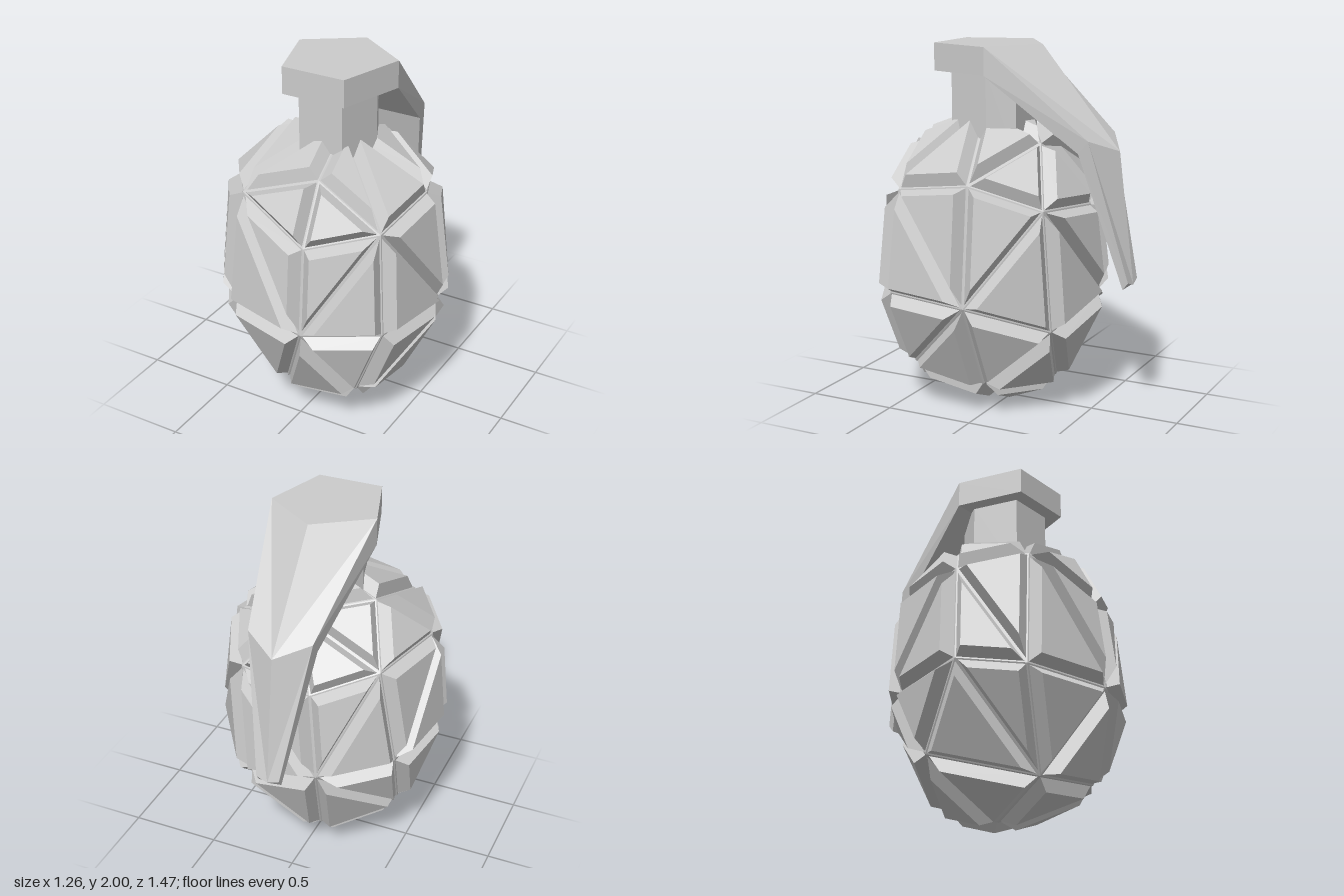
import * as THREE from 'three';
import { ConvexGeometry } from 'three/addons/geometries/ConvexGeometry.js';

const material = new THREE.MeshStandardMaterial({ color: 0xcccccc, flatShading: true });

// Points where the body's grooves meet
const NODES = [
  // top
  [0.11, 1.47, 0.46], [-0.28, 1.53, 0], [0.06, 1.6, 0.13], [0.08, 1.48, -0.22],
  // shoulder ring
  [-0.31, 1.33, 0.53], [0.11, 1.15, 0.625], [0.46, 1.24, 0.44], [0.5, 1.3, 0],
  [0.34, 1.17, -0.36], [-0.09, 1.14, -0.44], [-0.41, 1.25, -0.25], [-0.53, 1.26, 0.22],
  // waist ring
  [-0.37, 0.67, 0.56], [0.12, 0.66, 0.685], [0.5, 0.67, 0.48], [0.58, 0.66, -0.01],
  [0.3, 0.51, -0.39], [-0.14, 0.645, -0.48], [-0.49, 0.68, -0.21], [-0.57, 0.72, 0.25],
  // lower ring and base
  [-0.12, 0.17, 0.43], [0.32, 0.235, 0.435], [0.33, 0.17, 0], [-0.07, 0.14, -0.25],
  [-0.455, 0.31, -0.05], [0, 0.035, 0.05],
];

function meshFromTriangles(name, points) {
  const geometry = new THREE.BufferGeometry().setFromPoints(points);
  geometry.computeVertexNormals();
  const mesh = new THREE.Mesh(geometry, material);
  mesh.name = name;
  return mesh;
}

// Shrinks a triangle by an even margin and lifts it along its normal
function insetTriangle([a, b, c], margin, lift) {
  const la = b.distanceTo(c), lb = c.distanceTo(a), lc = a.distanceTo(b);
  const sum = la + lb + lc;
  const centre = new THREE.Vector3()
    .addScaledVector(a, la / sum).addScaledVector(b, lb / sum).addScaledVector(c, lc / sum);
  const tri = new THREE.Triangle(a, b, c);
  const inRadius = (2 * tri.getArea()) / sum;
  const normal = tri.getNormal(new THREE.Vector3());
  const t = Math.min(margin / inRadius, 0.8);
  return [a, b, c].map((p) => p.clone().lerp(centre, t).addScaledVector(normal, lift));
}

// One raised bevelled tile on every facet of the core
function makeTiles(core) {
  const pos = core.getAttribute('position');
  const points = [];
  for (let i = 0; i < pos.count; i += 3) {
    const facet = [0, 1, 2].map((k) => new THREE.Vector3().fromBufferAttribute(pos, i + k));
    const foot = insetTriangle(facet, 0.008, 0);
    const top = insetTriangle(facet, 0.038, 0.067);
    points.push(...top);
    for (let k = 0; k < 3; k++) {
      const n = (k + 1) % 3;
      points.push(foot[k], foot[n], top[n], foot[k], top[n], top[k]);
    }
  }
  return meshFromTriangles('bodyTiles', points);
}

// Lever and cap: five-point ridged sections from front to tip
// [half width, under y, under z, edge y, edge z, ridge y, ridge z]
function makeLever() {
  const cx = 0.02;
  const sections = [
    [0.18, 1.85, 0.36, 2, 0.36, 2, 0.36],
    [0.295, 1.85, 0, 2, 0, 2, -0.2],
    [0.18, 1.46, -0.49, 1.53, -0.545, 1.46, -0.65],
    [0.065, 0.73, -0.705, 0.77, -0.735, 0.75, -0.74],
  ];
  const rings = sections.map(([w, uy, uz, ey, ez, ry, rz]) => [
    new THREE.Vector3(cx - w, uy, uz),
    new THREE.Vector3(cx - w, ey, ez),
    new THREE.Vector3(cx, ry, rz),
    new THREE.Vector3(cx + w, ey, ez),
    new THREE.Vector3(cx + w, uy, uz),
  ]);
  const points = [];
  for (let i = 0; i < rings.length - 1; i++) {
    for (let j = 0; j < 5; j++) {
      const n = (j + 1) % 5;
      const [a, b, c, d] = [rings[i][j], rings[i][n], rings[i + 1][n], rings[i + 1][j]];
      // mirrored diagonals keep both halves alike
      if (j < 2) points.push(a, b, c, a, c, d);
      else points.push(a, b, d, b, c, d);
    }
  }
  // end caps
  const first = rings[0], last = rings[rings.length - 1];
  for (let k = 1; k < 4; k++) {
    points.push(first[0], first[k + 1], first[k]);
    points.push(last[0], last[k], last[k + 1]);
  }
  return meshFromTriangles('capAndLever', points);
}

// Six-sided neck
function makeNeck() {
  const outline = [[-0.11, 0.285], [0.145, 0.285], [0.215, 0.04], [0.145, -0.105], [-0.11, -0.105], [-0.19, 0.04]];
  const shape = new THREE.Shape(outline.map(([x, z]) => new THREE.Vector2(x, -z)));
  const geometry = new THREE.ExtrudeGeometry(shape, { depth: 0.46, bevelEnabled: false });
  geometry.rotateX(-Math.PI / 2).translate(0, 1.4, 0);
  const neck = new THREE.Mesh(geometry, material);
  neck.name = 'neck';
  return neck;
}

export function createModel() {
  const group = new THREE.Group();
  group.name = 'segmentedShell';

  // Core forms the groove floors
  const coreGeometry = new ConvexGeometry(NODES.map((p) => new THREE.Vector3(...p)));
  const core = new THREE.Mesh(coreGeometry, material);
  core.name = 'bodyCore';

  group.add(core, makeTiles(coreGeometry), makeNeck(), makeLever());
  return group;
}
